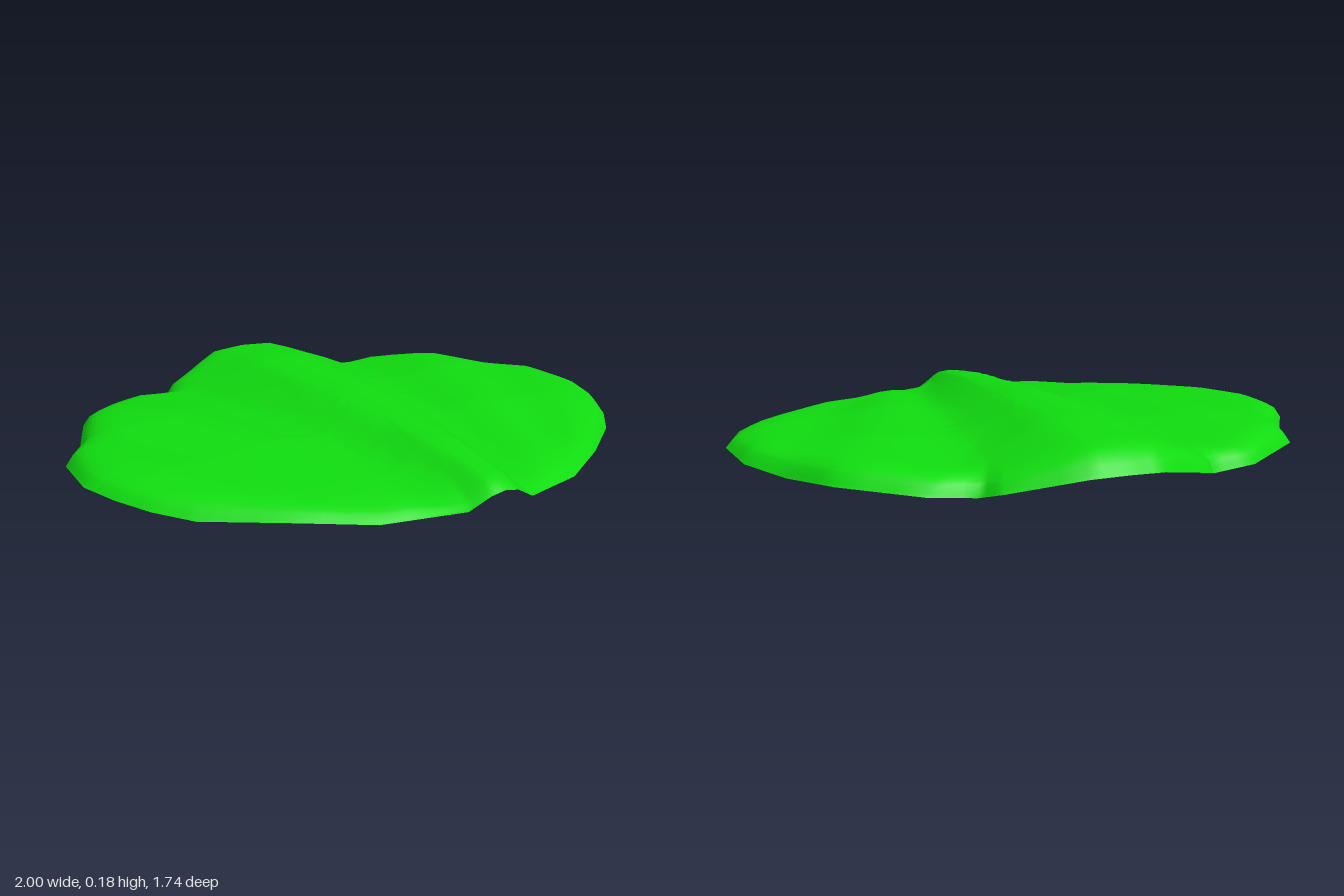
import * as THREE from 'three';

// Piecewise interpolation through [position, value] knots in rising order
function sample(knots, p, smooth = false) {
  if (p <= knots[0][0]) return knots[0][1];
  for (let i = 1; i < knots.length; i++) {
    const [p0, v0] = knots[i - 1], [p1, v1] = knots[i];
    if (p <= p1) {
      let k = (p - p0) / (p1 - p0);
      if (smooth) k = k * k * (3 - 2 * k);
      return v0 + (v1 - v0) * k;
    }
  }
  return knots[knots.length - 1][1];
}

// Half of the rim, from the back tip round to the front: x, y, z
const RIM = [
  [0, 0.08, -0.872], [0.12, 0.075, -0.86], [0.34, 0.025, -0.75], [0.39, 0, -0.672],
  [0.54, 0.015, -0.668], [0.775, 0.03, -0.51], [0.875, 0.012, -0.29], [0.975, 0.03, -0.14],
  [0.998, 0.035, 0.08], [0.955, 0.03, 0.22], [0.89, 0.02, 0.34], [0.8, 0.01, 0.45],
  [0.58, 0.02, 0.63], [0.37, 0.013, 0.76], [0.12, 0.03, 0.85], [0.05, 0.07, 0.867], [0, 0.08, 0.87],
];

// Height of the central ridge along z
const RIDGE = [[-0.87, 0.13], [-0.8, 0.155], [-0.5, 0.18], [0, 0.176], [0.55, 0.145], [0.82, 0.112], [0.87, 0.1]];
// Height across the side folds, in multiples of the ridge half-width
const FOLDS = [[1, 0.088], [1.9, 0.112], [2.8, 0.09], [3.3, 0.093], [4.2, 0.08]];
// Side folds flatten towards both ends
const FADE = [[-0.87, 0.6], [-0.6, 0.78], [-0.25, 1], [0.2, 1], [0.6, 0.7], [0.87, 0.42]];
// Shape of the ridge flank from crest (1) to valley (0)
const FLANK = [[0, 1], [0.3, 0.94], [0.65, 0.45], [1, 0]];
// How far the sheet has risen from its rim, by distance from the centre
const DROOP = [[0.88, 1], [0.94, 0.85], [0.975, 0.55], [1, 0]];

function leafHeight(x, z) {
  const halfWidth = 0.12 + 0.164 * (0.85 - z);
  const a = Math.abs(x) / halfWidth;
  const side = sample(FOLDS, a, true) * sample(FADE, z);
  return side + (sample(RIDGE, z) - side) * sample(FLANK, a);
}

function leafGeometry() {
  // Mirror the half rim into a closed loop and subdivide it
  const loop = [...RIM, ...RIM.slice(1, -1).reverse().map(([x, y, z]) => [-x, y, z])];
  const rim = [];
  const steps = 3;
  loop.forEach((p, i) => {
    const q = loop[(i + 1) % loop.length];
    for (let s = 0; s < steps; s++) rim.push(p.map((v, k) => v + (q[k] - v) * s / steps));
  });

  // Rings growing from the centre out to the rim
  const rings = [];
  for (let i = 1; i <= 14; i++) rings.push(i / 16);
  rings.push(0.91, 0.94, 0.96, 0.975, 0.99, 1);
  const positions = [0, leafHeight(0, 0), 0];
  for (const t of rings) {
    for (const [rx, ry, rz] of rim) {
      const x = rx * t, z = rz * t;
      positions.push(x, ry + (leafHeight(x, z) - ry) * sample(DROOP, t), z);
    }
  }

  const n = rim.length, index = [];
  for (let j = 0; j < n; j++) {
    const k = (j + 1) % n;
    index.push(0, 1 + k, 1 + j);
    for (let r = 0; r < rings.length - 1; r++) {
      const a = 1 + r * n, b = a + n;
      index.push(a + j, b + k, b + j, a + j, a + k, b + k);
    }
  }
  const geometry = new THREE.BufferGeometry();
  geometry.setAttribute('position', new THREE.Float32BufferAttribute(positions, 3));
  geometry.setIndex(index);
  geometry.computeVertexNormals();
  return geometry;
}

export function createModel() {
  const leafGreen = new THREE.MeshStandardMaterial({ color: 0x10dc10, side: THREE.DoubleSide });
  leafGreen.name = 'leaf green';

  const group = new THREE.Group();
  group.name = 'leaf';
  const blade = new THREE.Mesh(leafGeometry(), leafGreen);
  blade.name = 'leafBlade';
  group.add(blade);
  return group;
}
